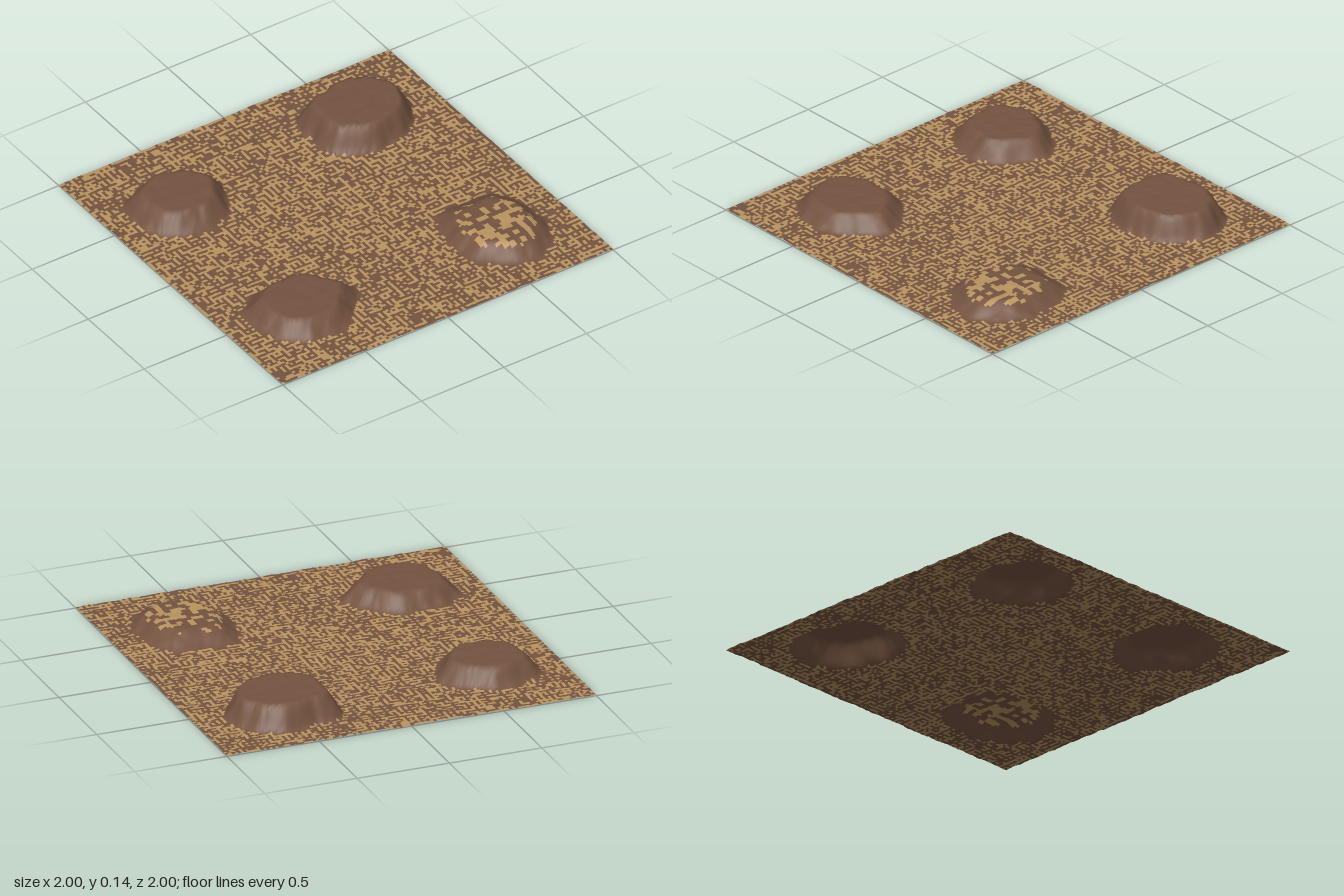
import * as THREE from 'three';

const CELLS = 128;

// Outline radii run every 30 degrees, from +x towards +z
const MOUNDS = [
  { x: -0.6, z: -0.52, top: 0.108, flat: 0.67, radii: [0.28, 0.25, 0.26, 0.25, 0.26, 0.27, 0.26, 0.28, 0.25, 0.25, 0.23, 0.26] },
  { x: 0.55, z: -0.6, top: 0.136, flat: 0.74, radii: [0.30, 0.27, 0.26, 0.26, 0.28, 0.32, 0.29, 0.33, 0.25, 0.25, 0.27, 0.28] },
  { x: -0.57, z: 0.55, top: 0.098, flat: 0.67, radii: [0.32, 0.25, 0.26, 0.25, 0.27, 0.28, 0.28, 0.31, 0.28, 0.25, 0.28, 0.27] },
  { x: 0.6, z: 0.57, top: 0.083, flat: 0.62, sandy: true, radii: [0.25, 0.26, 0.28, 0.29, 0.26, 0.27, 0.26, 0.28, 0.34, 0.30, 0.33, 0.28] },
];

// Repeatable value from 0 to 1 for a grid point
function hash(i, j) {
  let h = Math.imul(i + 17, 374761393) ^ Math.imul(j + 31, 668265263);
  h = Math.imul(h ^ (h >>> 13), 1274126177);
  return ((h ^ (h >>> 16)) >>> 0) / 4294967296;
}

// Smooth noise from 0 to 1
function noise(x, z) {
  const i = Math.floor(x), j = Math.floor(z);
  const u = THREE.MathUtils.smoothstep(x - i, 0, 1), v = THREE.MathUtils.smoothstep(z - j, 0, 1);
  const { lerp } = THREE.MathUtils;
  return lerp(lerp(hash(i, j), hash(i + 1, j), u), lerp(hash(i, j + 1), hash(i + 1, j + 1), u), v);
}

// Distance from a mound's centre as a fraction of its outline radius
function reach(m, x, z) {
  const dx = x - m.x, dz = z - m.z;
  const a = (Math.atan2(dz, dx) / (Math.PI * 2) + 1) * 12;
  const k = Math.floor(a);
  const r = THREE.MathUtils.lerp(m.radii[k % 12], m.radii[(k + 1) % 12], a - k);
  return Math.hypot(dx, dz) / (r + 0.02 * (noise(x * 18, z * 18) - 0.5));
}

function height(x, z, i, j) {
  let y = 0.005 + 0.006 * noise(x * 20 + 50, z * 20 + 50) + 0.004 * hash(i, j);
  for (const m of MOUNDS) {
    const t = THREE.MathUtils.clamp((1 - reach(m, x, z)) / (1 - m.flat), 0, 1);
    // Mostly straight flanks with a slightly eased foot and rim
    y += (m.top - 0.01) * (0.6 * t + 0.4 * t * t * (3 - 2 * t));
  }
  return y;
}

function isSoil(x, z, i, j) {
  for (const m of MOUNDS) {
    const d = reach(m, x, z);
    if (d < 1) return !(m.sandy && d < 0.72 && noise(x * 32, z * 32) > 0.4 + 0.3 * d);
  }
  // Maze-like crumbs of soil over the sand
  const odd = (i & 1) + (j & 1);
  if (odd === 2) return hash(i + 900, j) < 0.92;
  const patch = 0.3 * (noise(x * 8, z * 8) - 0.5);
  return hash(i, j + 900) < (odd === 1 ? 0.56 : 0.14) + patch;
}

export function createModel() {
  const group = new THREE.Group();
  group.name = 'moundedGround';

  // One height field shared by both surfaces
  const terrain = new THREE.PlaneGeometry(2, 2, CELLS, CELLS).rotateX(-Math.PI / 2);
  const p = terrain.attributes.position;
  for (let n = 0; n < p.count; n++) {
    const i = n % (CELLS + 1), j = Math.floor(n / (CELLS + 1));
    p.setY(n, height(p.getX(n), p.getZ(n), i, j));
  }
  terrain.computeVertexNormals();

  // Sort the cells into sand and soil
  const sand = [], soil = [];
  for (let j = 0; j < CELLS; j++) {
    for (let i = 0; i < CELLS; i++) {
      const x = ((i + 0.5) / CELLS) * 2 - 1, z = ((j + 0.5) / CELLS) * 2 - 1;
      const a = j * (CELLS + 1) + i, b = a + CELLS + 1;
      (isSoil(x, z, i, j) ? soil : sand).push(a, b, a + 1, b, b + 1, a + 1);
    }
  }

  const addSurface = (name, index, color) => {
    const geometry = new THREE.BufferGeometry();
    geometry.setAttribute('position', terrain.attributes.position);
    geometry.setAttribute('normal', terrain.attributes.normal);
    geometry.setIndex(index);
    const material = new THREE.MeshStandardMaterial({ color, side: THREE.DoubleSide });
    const mesh = new THREE.Mesh(geometry, material);
    mesh.name = name;
    group.add(mesh);
  };
  addSurface('sandGround', sand, 0xb8935f);
  addSurface('soilMounds', soil, 0x745340);

  return group;
}
